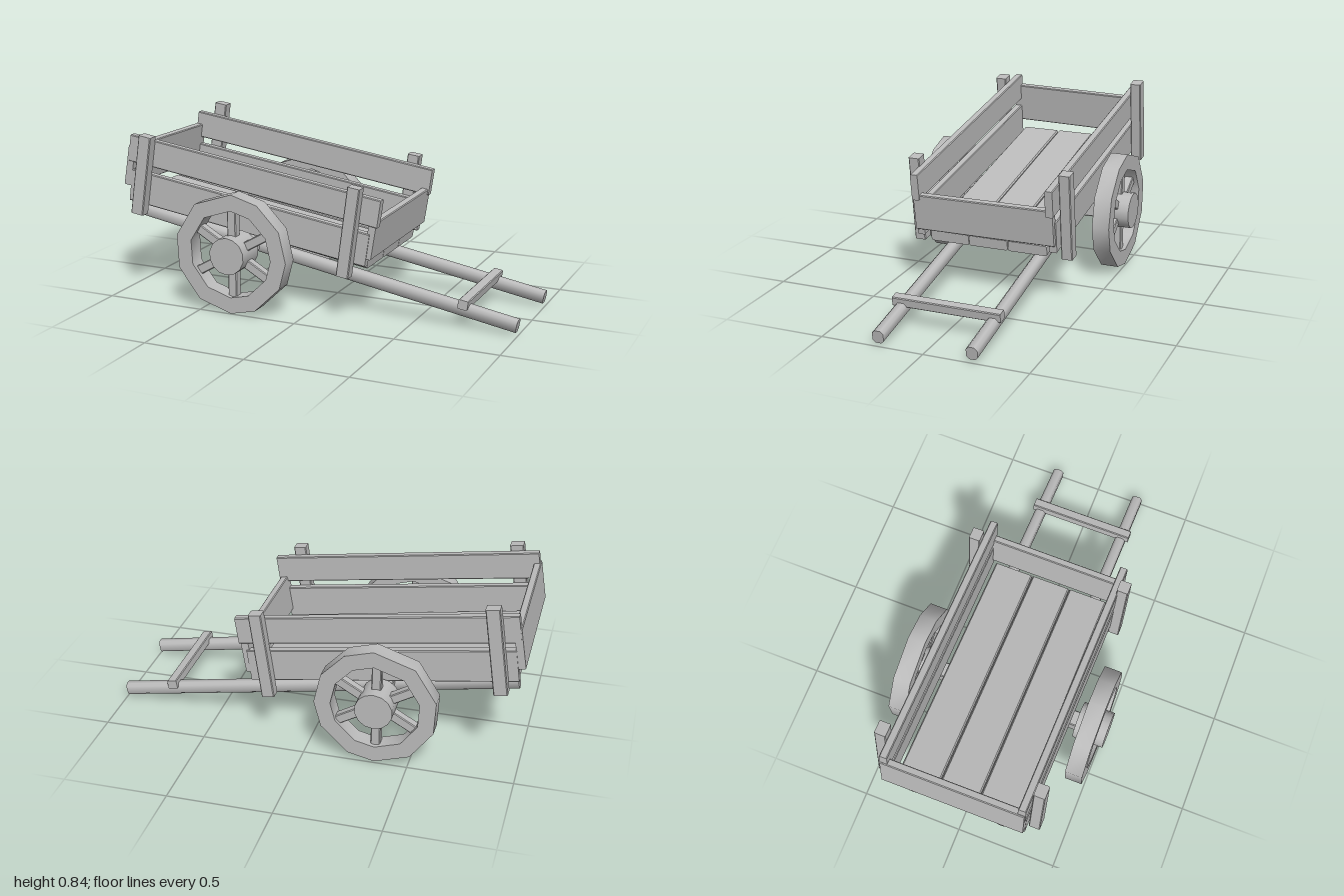
import * as THREE from 'three';
import { toCreasedNormals } from 'three/addons/utils/BufferGeometryUtils.js';

const wood = new THREE.MeshStandardMaterial({ color: 0xbcbcbc });
wood.name = 'greyWood';

// Chamfered timber from point a to point b; h is measured along "up", w across it.
// Edges below the crease angle are shaded smooth.
function beam(name, a, b, w, h, { chamfer = 0.004, up = [0, 1, 0], crease = 0.1 } = {}) {
  const A = new THREE.Vector3(...a), B = new THREE.Vector3(...b);
  const x = w / 2, y = h / 2, c = chamfer;
  const outline = [[x, c - y], [x, y - c], [x - c, y], [c - x, y], [-x, y - c], [-x, c - y], [c - x, -y], [x - c, -y]];
  const shape = new THREE.Shape(outline.map(p => new THREE.Vector2(...p)));
  const geo = new THREE.ExtrudeGeometry(shape, { depth: A.distanceTo(B), bevelEnabled: false });
  const dir = B.clone().sub(A).normalize();
  const side = new THREE.Vector3(...up).cross(dir).normalize();
  const top = dir.clone().cross(side);
  geo.applyMatrix4(new THREE.Matrix4().makeBasis(side, top, dir).setPosition(A));
  const mesh = new THREE.Mesh(toCreasedNormals(geo, crease), wood);
  mesh.name = name;
  return mesh;
}

// Uneven eleven-sided rim, six spokes and a drum hub, facing z
const rimAngles = [-90, -64, -28, -2, 28, 60, 88, 129, 167, 199, 235];
function wheel(name) {
  const g = new THREE.Group();
  g.name = name;
  const ring = r => rimAngles.map(d => {
    const t = THREE.MathUtils.degToRad(d);
    return new THREE.Vector2(Math.cos(t) * r, Math.sin(t) * r);
  });
  const shape = new THREE.Shape(ring(0.292));
  shape.holes.push(new THREE.Path(ring(0.213)));
  const rimGeo = new THREE.ExtrudeGeometry(shape, { depth: 0.086, bevelEnabled: false });
  rimGeo.translate(0, 0, -0.043);
  const rim = new THREE.Mesh(toCreasedNormals(rimGeo, 0.8), wood);
  rim.name = 'rim';
  g.add(rim);
  for (let i = 0; i < 6; i++) {
    const t = Math.PI / 2 + i * Math.PI / 3, c = Math.cos(t), s = Math.sin(t);
    g.add(beam('spoke', [c * 0.05, s * 0.05, 0], [c * 0.215, s * 0.215, 0], 0.045, 0.045, { up: [0, 0, 1] }));
  }
  const hub = new THREE.Mesh(new THREE.CylinderGeometry(0.09, 0.09, 0.155, 14), wood);
  hub.rotation.x = Math.PI / 2;
  hub.name = 'hub';
  g.add(hub);
  return g;
}

export function createModel() {
  const cart = new THREE.Group();
  cart.name = 'handCart';
  const lean = { up: [0.16, 1, 0] }, upright = { up: [1, 0, 0] };

  // Running gear
  for (const z of [0.22, -0.231])
    cart.add(beam('shaft', [-0.965, 0.385, z], [0.995, 0.043, z], 0.054, 0.062, { chamfer: 0.013, crease: 0.9 }));
  cart.add(beam('shaftCrossbar', [0.743, 0.12, -0.27], [0.743, 0.12, 0.262], 0.048, 0.045, lean));
  cart.add(beam('axle', [-0.345, 0.29, -0.4], [-0.345, 0.29, 0.4], 0.075, 0.075));
  const frontWheel = wheel('frontWheel'), backWheel = wheel('backWheel');
  frontWheel.position.set(-0.335, 0.292, 0.453);
  backWheel.position.set(-0.343, 0.3, -0.458);
  cart.add(frontWheel, backWheel);

  // Floor
  for (const z of [-0.208, -0.008, 0.191])
    cart.add(beam('floorPlank', [-0.965, 0.464, z], [0.282, 0.268, z], 0.196, 0.052, { chamfer: 0.006 }));

  // Slatted sides with their posts
  for (const s of [1, -1]) {
    const z0 = s > 0 ? 0.325 : -0.342, z1 = s > 0 ? 0.335 : -0.342, p = s > 0 ? 0.374 : -0.387;
    cart.add(beam('upperSidePlank', [-0.965, 0.722, z0], [0.362, 0.528, z1], 0.038, 0.134));
    cart.add(beam('lowerSidePlank', [-0.965, 0.535, z0], [0.305, 0.35, z1], 0.038, 0.16));
    cart.add(beam('rearPost', [-0.902, 0.405, p], [-0.842, s > 0 ? 0.797 : 0.832, p], 0.055, 0.066, upright));
    cart.add(beam('forePost', [0.198, 0.222, p], [0.256, 0.652, p], 0.055, 0.062, upright));
  }

  // End boards, leaning with the bed
  cart.add(beam('foreBoard', [0.318, 0.404, -0.355], [0.318, 0.399, 0.35], 0.036, 0.185, lean));
  cart.add(beam('rearBoard', [-0.968, 0.622, -0.358], [-0.968, 0.634, 0.342], 0.036, 0.203, lean));
  return cart;
}
